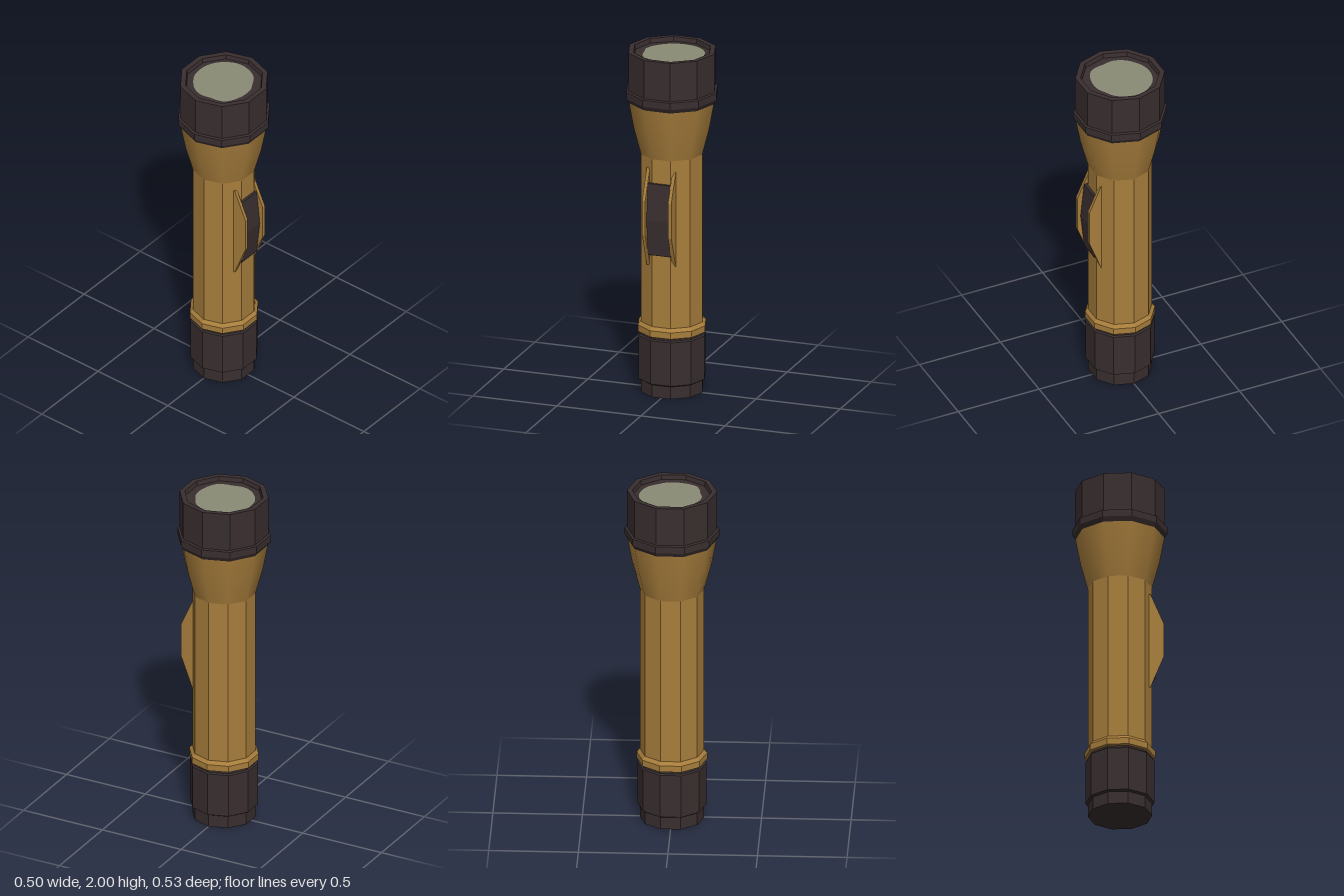
import * as THREE from 'three';

const SIDES = 10;

// Unshared vertices give each facet its own normal
function faceted(geometry) {
  const g = geometry.toNonIndexed();
  g.computeVertexNormals();
  return g;
}

// Ten-sided solid of revolution from [radius, y] pairs, bottom to top
function turned(profile) {
  return new THREE.LatheGeometry(profile.map(([r, y]) => new THREE.Vector2(r, y)), SIDES);
}

// Extrudes an [x, y] outline between two z values
function slab(outline, z0, z1) {
  const shape = new THREE.Shape(outline.map(([x, y]) => new THREE.Vector2(x, y)));
  const g = new THREE.ExtrudeGeometry(shape, { depth: z1 - z0, bevelEnabled: false });
  return g.translate(0, 0, z0);
}

export function createModel() {
  const model = new THREE.Group();
  model.name = 'flashlight';

  const brass = new THREE.MeshStandardMaterial({ color: 0xa87e3c });
  brass.name = 'ochre casing';
  const rubber = new THREE.MeshStandardMaterial({ color: 0x392e2f });
  rubber.name = 'dark rubber';
  const glass = new THREE.MeshStandardMaterial({ color: 0x8a8b76 });
  glass.name = 'grey lens';

  function add(name, geometry, material) {
    const mesh = new THREE.Mesh(geometry, material);
    mesh.name = name;
    model.add(mesh);
    return mesh;
  }

  // Tail cap with a stepped foot and a groove above
  add('tailCap', faceted(turned([
    [0, 0], [0.18, 0], [0.18, 0.072], [0.193, 0.08],
    [0.193, 0.335], [0.184, 0.342], [0.184, 0.358],
  ])), rubber);

  // Collar and straight barrel
  add('barrel', faceted(turned([
    [0.184, 0.352], [0.197, 0.358], [0.197, 0.395], [0.18, 0.415], [0.18, 1.4],
  ])), brass);

  // Softly shaded flare under the head
  add('flare', turned([[0.18, 1.4], [0.222, 1.56], [0.25, 1.712]]), brass);

  // Head ring, bezel and shallow recess
  add('head', faceted(turned([
    [0.249, 1.705], [0.264, 1.73], [0.264, 1.77], [0.252, 1.775],
    [0.252, 2], [0.222, 2], [0.217, 1.974], [0, 1.974],
  ])), rubber);

  // Lens with a slightly irregular edge, listed as x, z
  const rim = [
    [0, -0.184], [0.05, -0.171], [0.1, -0.14], [0.132, -0.09], [0.16, -0.03],
    [0.156, 0.05], [0.122, 0.125], [0.075, 0.15], [0.03, 0.157], [-0.03, 0.168],
    [-0.09, 0.148], [-0.14, 0.1], [-0.172, 0.04], [-0.176, -0.04], [-0.145, -0.115],
    [-0.085, -0.166], [-0.04, -0.182],
  ].map(([x, z]) => new THREE.Vector2(x, -z));
  const lens = new THREE.ShapeGeometry(new THREE.Shape(
    new THREE.SplineCurve([...rim, rim[0]]).getPoints(64).slice(0, -1)));
  lens.rotateX(-Math.PI / 2).translate(0, 1.977, 0);
  add('lens', lens, glass);

  // Guard fins on either side of the switch
  const fin = [[0.14, 0.77], [0.152, 0.77], [0.228, 0.965], [0.228, 1.17], [0.152, 1.34], [0.14, 1.34]];
  add('leftGuard', slab(fin, 0.075, 0.094), brass);
  add('rightGuard', slab(fin, -0.08, -0.06), brass);

  // Rocker switch with a ridge across its middle
  add('switch', slab([[0.14, 0.84], [0.186, 0.84], [0.208, 1.05], [0.186, 1.26], [0.14, 1.26]],
    -0.06, 0.075), rubber);

  return model;
}
